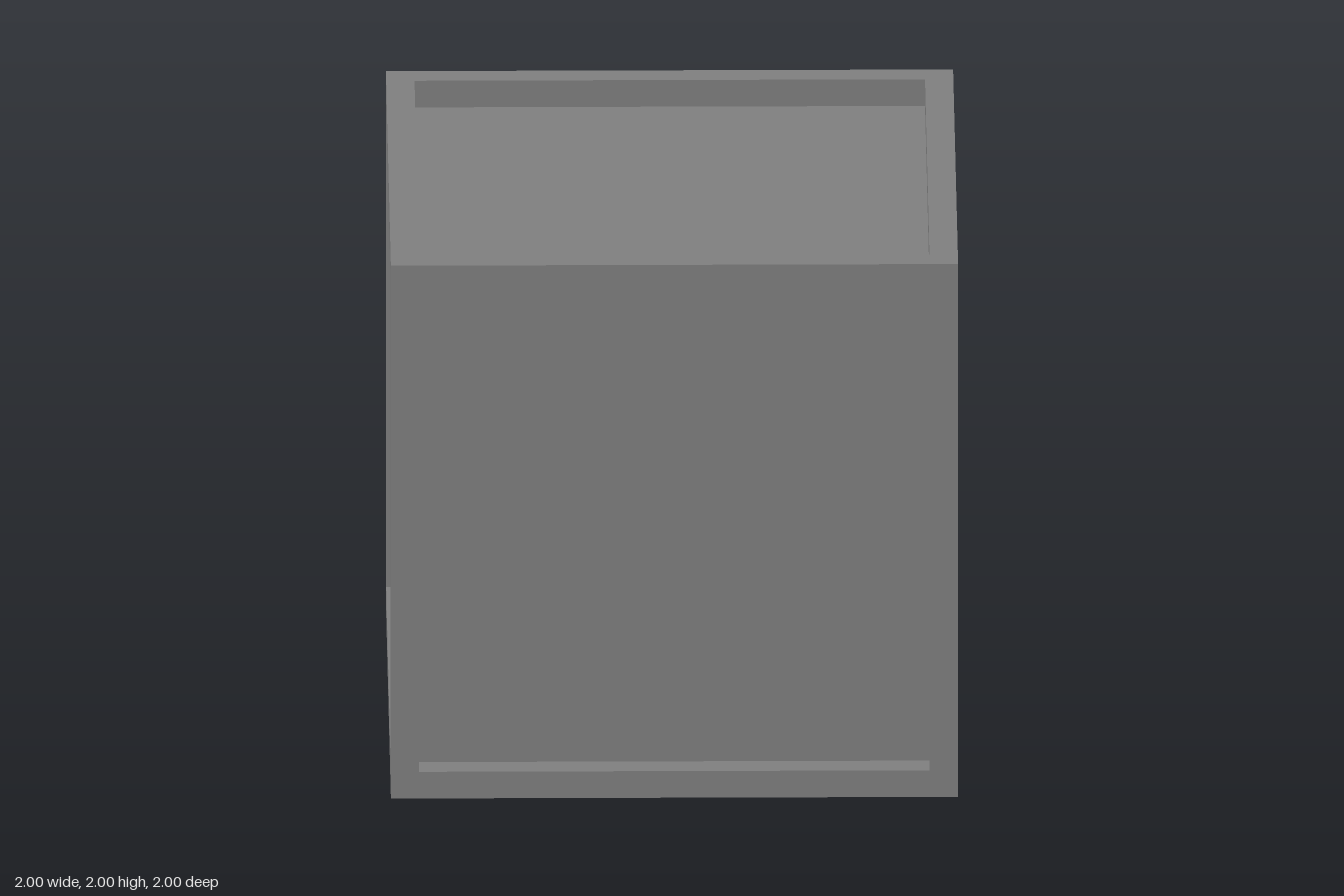
import * as THREE from 'three';

export function createModel() {
  const crate = new THREE.Group();
  crate.name = 'crate';

  const darkGrey = new THREE.MeshStandardMaterial({ color: 0x808080 });
  darkGrey.name = 'darkGrey';
  const lightGrey = new THREE.MeshStandardMaterial({ color: 0xbebebe });
  lightGrey.name = 'lightGrey';

  const size = 2, bar = 0.1, inner = size - 2 * bar;
  const edge = size / 2 - bar / 2;

  const add = (name, geometry, material, x, y, z) => {
    const mesh = new THREE.Mesh(geometry, material);
    mesh.name = name;
    mesh.position.set(x, y, z);
    crate.add(mesh);
  };

  // Recessed panels: one solid core
  add('panels', new THREE.BoxGeometry(inner, inner, inner), darkGrey, 0, 1, 0);

  // Frame: four bars along each axis
  const post = new THREE.BoxGeometry(bar, size, bar);
  const crossRail = new THREE.BoxGeometry(inner, bar, bar);
  const sideRail = new THREE.BoxGeometry(bar, bar, inner);
  for (const a of [-edge, edge]) {
    for (const b of [-edge, edge]) {
      add('cornerPost', post, darkGrey, a, 1, b);
      add('crossRail', crossRail, darkGrey, 0, 1 + a, b);
      add('sideRail', sideRail, darkGrey, a, 1 + b, 0);
    }
  }

  // Diagonal braces on both sides, clipped to the frame opening (z, y profile)
  const profile = [[0.9, 1.9], [0.62, 1.9], [-0.9, 0.38], [-0.9, 0.1], [-0.62, 0.1], [0.9, 1.62]];
  const shape = new THREE.Shape(profile.map(([z, y]) => new THREE.Vector2(z, y)));
  const thickness = 0.08;
  const brace = new THREE.ExtrudeGeometry(shape, { depth: thickness, bevelEnabled: false });
  brace.translate(0, 0, -thickness / 2).rotateY(-Math.PI / 2);
  for (const side of [-1, 1]) {
    add('diagonalBrace', brace, lightGrey, side * (inner / 2 + thickness / 2), 0, 0);
  }

  return crate;
}
